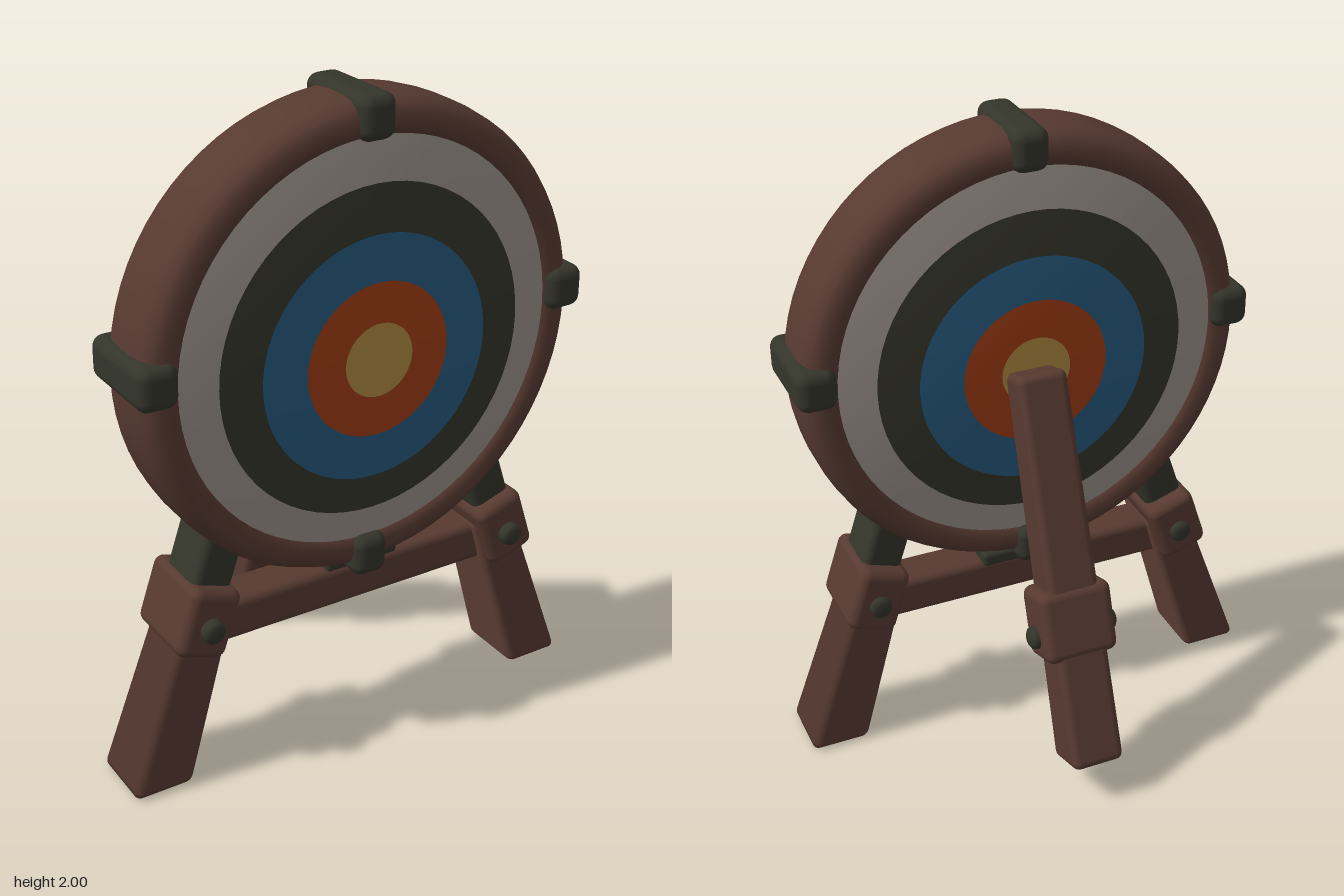
import * as THREE from 'three';
import { RoundedBoxGeometry } from 'three/addons/geometries/RoundedBoxGeometry.js';

const mat = (name, color) => {
  const m = new THREE.MeshStandardMaterial({ color });
  m.name = name;
  return m;
};

export function createModel() {
  const wood = mat('brown wood', 0x573a31);
  const dark = mat('dark binding', 0x34352a);
  const white = mat('off white', 0x9c928a);
  const blue = mat('blue', 0x265b80);
  const red = mat('red', 0xa03c14);
  const gold = mat('gold', 0xb08a40);

  const model = new THREE.Group();
  const add = (parent, name, geo, material, x = 0, y = 0, z = 0, rz = 0) => {
    const mesh = new THREE.Mesh(geo, material);
    mesh.name = name;
    mesh.position.set(x, y, z);
    mesh.rotation.z = rz;
    parent.add(mesh);
    return mesh;
  };
  const box = (w, h, d, r = 0.025) => new RoundedBoxGeometry(w, h, d, 3, r);

  // Rounded beam standing on its base, tapered upward and leaning along x
  const beam = (w, h, d, topW, topD, lean = 0) => {
    const geo = box(w, h, d);
    const p = geo.attributes.position;
    for (let i = 0; i < p.count; i++) {
      const y = p.getY(i) + h / 2, t = y / h;
      p.setXYZ(i, p.getX(i) * (1 + t * (topW / w - 1)) + lean * y, y,
        p.getZ(i) * (1 + t * (topD / d - 1)));
    }
    return geo;
  };

  // Bolt with domed ends running along z
  const bolt = (length, r) => {
    const h = length / 2;
    const pts = [[0, -h], [r * 0.6, -h], [r * 0.92, -h + 0.008], [r, -h + 0.02],
      [r, h - 0.02], [r * 0.92, h - 0.008], [r * 0.6, h], [0, h]];
    return new THREE.LatheGeometry(pts.map(q => new THREE.Vector2(...q)), 20).rotateX(Math.PI / 2);
  };

  // Round target
  const target = new THREE.Group();
  target.name = 'target';
  target.position.z = 0.27;
  model.add(target);

  const rimShape = [[0.59, -0.1], [0.605, -0.122], [0.63, -0.132], [0.66, -0.13], [0.685, -0.115],
    [0.7, -0.085], [0.705, -0.04], [0.705, 0.04], [0.7, 0.085], [0.685, 0.115],
    [0.66, 0.13], [0.63, 0.132], [0.605, 0.122], [0.59, 0.1]];
  add(target, 'rim', new THREE.LatheGeometry(rimShape.map(q => new THREE.Vector2(...q)), 72)
    .rotateX(Math.PI / 2), wood, 0, 1.277);

  // Domed rings on both faces; the inner ones sit slightly low
  const rings = [['gold centre', 0, 0.11, gold], ['red ring', 0.11, 0.23, red],
    ['blue ring', 0.23, 0.365, blue], ['dark ring', 0.365, 0.49, dark],
    ['white ring', 0.49, 0.625, white]];
  const domeZ = r => 0.165 - 0.05 * (r / 0.625) ** 2.4;
  const centreY = r => 1.25 + 0.027 * THREE.MathUtils.clamp((r - 0.365) / 0.245, 0, 1);
  for (const [name, r0, r1, material] of rings) {
    for (const side of [1, -1]) {
      const pts = [];
      for (let i = 0; i <= 4; i++) {
        const r = THREE.MathUtils.lerp(r0, r1, side > 0 ? 1 - i / 4 : i / 4);
        pts.push(new THREE.Vector2(r, side * domeZ(r)));
      }
      const geo = new THREE.LatheGeometry(pts, 64).rotateX(Math.PI / 2);
      const p = geo.attributes.position;
      for (let i = 0; i < p.count; i++) {
        p.setY(i, p.getY(i) + centreY(Math.hypot(p.getX(i), p.getY(i))));
      }
      add(target, (side > 0 ? 'front ' : 'back ') + name, geo, material);
    }
  }

  // Bindings clamped over the rim
  add(target, 'topBinding', box(0.112, 0.13, 0.31, 0.035), dark, 0, 1.933);
  add(target, 'bottomBinding', box(0.112, 0.13, 0.31, 0.035), dark, 0, 0.615);
  for (const s of [1, -1]) {
    add(target, s > 0 ? 'leftBinding' : 'rightBinding', box(0.122, 0.13, 0.31, 0.035), dark, s * 0.667, 1.315);
  }

  // Front legs with collars, bolts and dark heads
  for (const s of [1, -1]) {
    const leg = new THREE.Group();
    leg.name = s > 0 ? 'leftLeg' : 'rightLeg';
    leg.position.z = 0.26;
    model.add(leg);
    const tilt = s * 0.32;
    add(leg, 'legPost', beam(0.19, 0.56, 0.225, 0.15, 0.19, -s * 0.325), wood, s * 0.678);
    add(leg, 'legCollar', box(0.165, 0.215, 0.265, 0.03), wood, s * 0.522, 0.533, 0, tilt);
    add(leg, 'legHead', box(0.13, 0.27, 0.17, 0.025), dark, s * 0.468, 0.7, 0.005, tilt);
    add(leg, 'legBolt', bolt(0.32, 0.036), dark, s * 0.523, 0.523, 0.005);
  }
  add(model, 'crossbar', box(1.0, 0.13, 0.14), wood, 0, 0.48, 0.26);
  add(model, 'crossbarPad', box(0.25, 0.05, 0.15, 0.015), dark, 0.03, 0.556, 0.25);

  // Rear prop leaning against the back of the target
  const prop = new THREE.Group();
  prop.name = 'rearProp';
  prop.position.set(0.027, 0.118, -0.355);
  prop.rotation.x = 0.335;
  model.add(prop);
  add(prop, 'propPost', beam(0.168, 1.235, 0.17, 0.155, 0.115), wood);
  add(prop, 'propCollar', box(0.235, 0.225, 0.165, 0.03), wood, 0, 0.465);
  add(prop, 'propBolt', bolt(0.285, 0.036).rotateY(Math.PI / 2), dark, 0, 0.43);
  add(prop, 'propPad', box(0.14, 0.2, 0.05, 0.015), dark, 0, 1.125, 0.042);

  return model;
}
